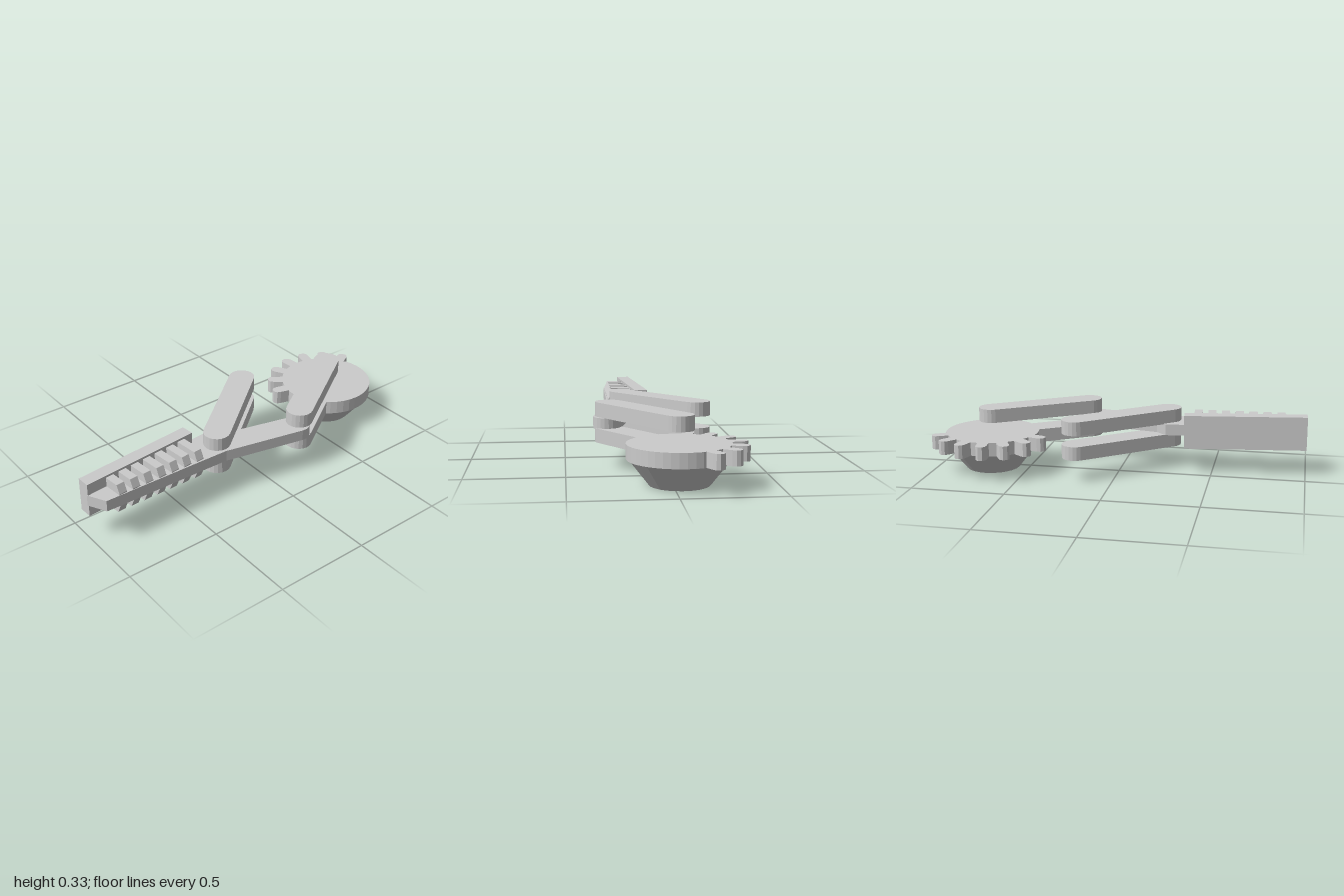
import * as THREE from 'three';

const material = new THREE.MeshStandardMaterial({ color: 0xcccccc, flatShading: true });

function addMesh(parent, name, geometry) {
  const mesh = new THREE.Mesh(geometry, material);
  mesh.name = name;
  parent.add(mesh);
  return mesh;
}

// Extrude a plan outline of [x, z] points upwards from y0 to y1
function plate(points, y0, y1) {
  const shape = new THREE.Shape(points.map(([x, z]) => new THREE.Vector2(x, -z)));
  return new THREE.ExtrudeGeometry(shape, { depth: y1 - y0, bevelEnabled: false })
    .rotateX(-Math.PI / 2)
    .translate(0, y0, 0);
}

// Points on an arc in plan, angles in radians from +x towards +z
function arc([cx, cz], r, a0, a1, steps) {
  return Array.from({ length: steps + 1 }, (_, i) => {
    const a = a0 + ((a1 - a0) * i) / steps;
    return [cx + r * Math.cos(a), cz + r * Math.sin(a)];
  });
}

// Round-ended bar between two pivots
function link(a, b, r) {
  const t = Math.atan2(b[1] - a[1], b[0] - a[0]);
  const h = Math.PI / 2;
  return [...arc(b, r, t - h, t + h, 10), ...arc(a, r, t + h, t + 3 * h, 10)];
}

// Disc outline with seven rounded teeth on its back half
function gearOutline(center) {
  const deg = Math.PI / 180, first = 28, pitch = 22.8, count = 7;
  const polar = (d, r) => [center[0] + r * Math.cos(d * deg), center[1] - r * Math.sin(d * deg)];
  const profile = [[-6.8, 0.25], [-5.6, 0.3], [-4.6, 0.32], [-2, 0.332],
    [2, 0.332], [4.6, 0.32], [5.6, 0.3], [6.8, 0.25]];
  const points = [];
  for (let i = 0; i < count; i++) {
    for (const [d, r] of profile) points.push(polar(first + i * pitch + d, r));
  }
  const start = first + (count - 1) * pitch + 10, end = 360 + first - 10;
  for (let i = 0; i <= 24; i++) points.push(polar(start + ((end - start) * i) / 24, 0.255));
  return points;
}

export function createModel() {
  const model = new THREE.Group();
  model.name = 'gripperArm';

  const gearPivot = [0.705, -0.035];
  const elbow = [0.225, 0.275];
  const wrist = [-0.245, 0.175];
  const idler = [0.203, -0.185];

  // Drive gear, its arm and the tapered hub below
  const drive = new THREE.Group();
  drive.name = 'driveGear';
  model.add(drive);
  addMesh(drive, 'gear', plate(gearOutline(gearPivot), 0.125, 0.199));
  addMesh(drive, 'gearArm', plate(link(elbow, gearPivot, 0.07), 0.1255, 0.1985));
  addMesh(drive, 'hub', new THREE.CylinderGeometry(0.245, 0.147, 0.126, 24))
    .position.set(gearPivot[0], 0.063, gearPivot[1]);

  // Upper drive link and the pair of parallel links
  addMesh(model, 'upperDriveLink', plate(link(elbow, gearPivot, 0.07), 0.26, 0.334));
  addMesh(model, 'upperParallelLink', plate(link(wrist, idler, 0.07), 0.254, 0.328));
  addMesh(model, 'lowerParallelLink', plate(link(wrist, idler, 0.07), 0.12, 0.194));

  // Finger, tilted very slightly; local y = 0 is its mid plane
  const finger = new THREE.Group();
  finger.name = 'finger';
  finger.position.y = 0.225;
  finger.rotation.z = -0.009;
  model.add(finger);
  addMesh(finger, 'fingerBar', plate([
    ...arc([0.2, 0.282], 0.072, -1.31, 1.78, 10),
    [-0.25, 0.26], [-0.39, 0.257], [-0.95, 0.25], [-1, 0.155],
    [-0.97, 0.12], [-0.345, 0.07], [-0.245, 0.06], [-0.19, 0.115],
  ], -0.03, 0.03));

  // Back plate of the grip
  addMesh(finger, 'gripPlate', plate(
    [[-1, 0.09], [-0.35, 0.025], [-0.343, 0.095], [-0.997, 0.16]], -0.091, 0.091));

  // Ribs square to the back plate, above and below the bar
  for (let i = 0; i < 7; i++) {
    const x = -0.888 + i * 0.0745;
    const root = 0.142 - (x + 0.888) * 0.1;
    const reach = 0.25 - root;
    for (const side of [1, -1]) {
      const profile = new THREE.Shape([[-0.01, 0.02], [reach, 0.02], [reach, 0.035],
        [reach - 0.02, 0.079], [-0.01, 0.079]].map(([d, y]) => new THREE.Vector2(d, y * side)));
      const rib = addMesh(finger, side > 0 ? 'upperRib' : 'lowerRib',
        new THREE.ExtrudeGeometry(profile, { depth: 0.044, bevelEnabled: false })
          .translate(0, 0, -0.044).rotateY(-Math.PI / 2).translate(0, 0, 0));
      rib.position.set(x, 0, root);
      rib.rotation.y = 0.1;
    }
  }

  return model;
}
